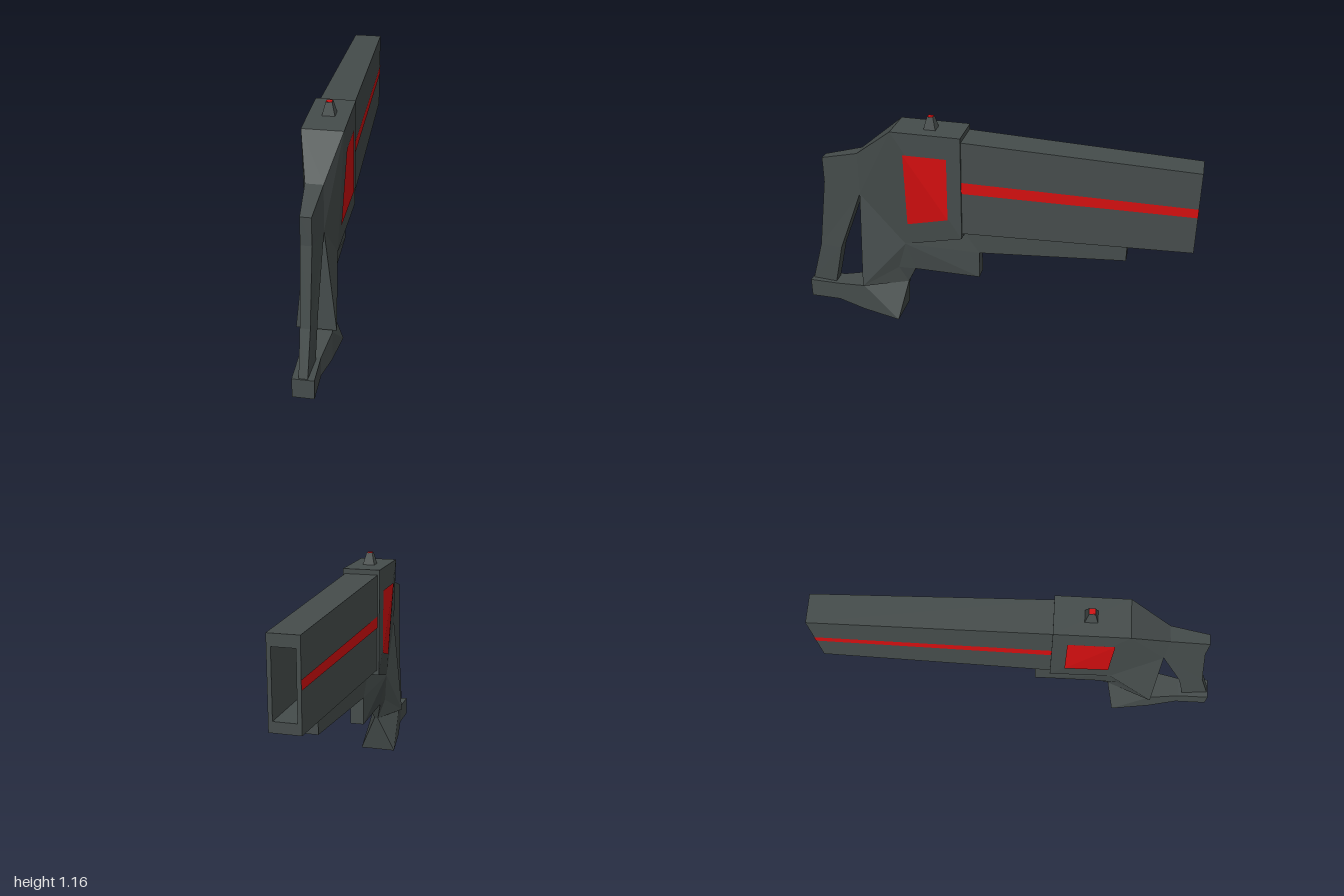
import * as THREE from 'three';

const gunmetal = new THREE.MeshStandardMaterial({ color: 0x454c4b });
gunmetal.name = 'dark grey';
const red = new THREE.MeshStandardMaterial({ color: 0xd20e0f });
red.name = 'red';

function flatMesh(name, polygons, material) {
  const pos = [];
  for (const p of polygons)
    for (let i = 1; i < p.length - 1; i++) pos.push(...p[0], ...p[i], ...p[i + 1]);
  const geo = new THREE.BufferGeometry();
  geo.setAttribute('position', new THREE.Float32BufferAttribute(pos, 3));
  geo.computeVertexNormals();
  const mesh = new THREE.Mesh(geo, material);
  mesh.name = name;
  return mesh;
}

// Mirrors left side faces across x = 0; closed shells also bridge every open edge.
// Points are [z, y, half width]; each face is a string of point letters.
function mirrored(name, points, faces, material, closed = true) {
  const left = (k) => [points[k][2], points[k][1], points[k][0]];
  const right = (k) => [-points[k][2], points[k][1], points[k][0]];
  const loops = faces.map((f) => [...f]);
  const polygons = [];
  const edges = new Set();
  for (const f of loops) {
    polygons.push(f.map(left));
    // keep the same fan diagonal on the mirrored face
    polygons.push([f[0], ...f.slice(1).reverse()].map(right));
    f.forEach((k, i) => edges.add(k + f[(i + 1) % f.length]));
  }
  if (closed) {
    for (const [a, b] of edges)
      if (!edges.has(b + a)) polygons.push([left(b), left(a), right(a), right(b)]);
  }
  return flatMesh(name, polygons, material);
}

// Rectangular rings [z, half width, bottom, top] joined in order, last one capped
function rectLoft(name, rings, material) {
  const r = rings.map(([z, w, b, t]) => [[w, b, z], [w, t, z], [-w, t, z], [-w, b, z]]);
  const polygons = [];
  for (let k = 0; k < r.length - 1; k++)
    for (let i = 0; i < 4; i++) {
      const j = (i + 1) % 4;
      polygons.push([r[k][i], r[k + 1][i], r[k + 1][j], r[k][j]]);
    }
  polygons.push([...r[r.length - 1]].reverse());
  return flatMesh(name, polygons, material);
}

export function createModel() {
  const model = new THREE.Group();
  model.name = 'blaster';

  // Receiver, flared grip, trigger block and rear strut
  model.add(mirrored('receiverAndGrip', {
    A: [0.13, 1.095, 0.095], B: [0.48, 1.095, 0.095], C: [0.13, 0.55, 0.095], D: [0.44, 0.46, 0.06],
    E: [0.68, 0.935, 0.04], F: [0.68, 0.71, 0.04], G: [0.68, 0.185, 0.095], H: [0.49, 0.3, 0.04],
    T: [0.45, 0.2, 0.01], J: [0.4, 0.3, 0.035], K: [0.055, 0.3, 0.035], L: [0.055, 0.445, 0.035],
    M: [0.13, 0.55, 0.035], P: [0.875, 0.885, 0.025], Q: [0.875, 0.75, 0.025],
    R: [0.93, 0.37, 0.023], U: [0.995, 0.145, 0.02], V: [0.86, 0.145, 0.03], W: [0.81, 0.37, 0.034],
  }, ['ABC', 'BDC', 'BEFD', 'DFGH', 'HGT', 'HTJ', 'DHJKLM', 'CDM', 'EPQF', 'FQRW', 'WRUV'], gunmetal));

  // Foot of the grip
  model.add(mirrored('gripBase', {
    a: [1, 0.15, 0.05], b: [1, 0.05, 0.05], c: [0.84, 0.05, 0.05], d: [0.84, 0.15, 0.05],
    e: [0.68, 0.175, 0.075], f: [0.69, 0.025, 0.075], g: [0.49, 0, 0.095], t: [0.45, 0.2, 0.01],
  }, ['abcd', 'dcfe', 'efgt'], gunmetal));

  // Tapered barrel with a hollow muzzle
  model.add(rectLoft('barrel', [
    [0.14, 0.085, 0.575, 1.07], [-1, 0.072, 0.615, 1.03],
    [-1, 0.053, 0.665, 0.975], [-0.5, 0.053, 0.665, 0.975],
  ], gunmetal));

  // Rail below the barrel
  model.add(mirrored('underRail', {
    a: [0.14, 0.62, 0.035], b: [0.14, 0.438, 0.035], c: [-0.685, 0.505, 0.035], d: [-0.685, 0.63, 0.035],
  }, ['abcd'], gunmetal));

  // Red side stripes and panels
  model.add(mirrored('barrelStripes', {
    a: [0.13, 0.86, 0.087], b: [0.13, 0.8, 0.087], c: [-1, 0.805, 0.074], d: [-1, 0.85, 0.074],
  }, ['abcd'], red, false));
  model.add(mirrored('receiverPanels', {
    a: [0.42, 0.98, 0.098], b: [0.42, 0.585, 0.073], c: [0.2, 0.65, 0.098], d: [0.2, 0.98, 0.098],
  }, ['abcd'], red, false));

  // Sight with a red tip
  const sightGeo = new THREE.CylinderGeometry(0.015 * Math.SQRT2, 0.03 * Math.SQRT2, 0.06, 4).toNonIndexed();
  sightGeo.rotateY(Math.PI / 4);
  sightGeo.computeVertexNormals();
  const sight = new THREE.Mesh(sightGeo, gunmetal);
  sight.name = 'sight';
  sight.position.set(0, 1.125, 0.3);
  const tip = new THREE.Mesh(new THREE.BoxGeometry(0.026, 0.004, 0.026), red);
  tip.name = 'sightTip';
  tip.position.set(0, 1.155, 0.3);
  model.add(sight, tip);

  return model;
}
